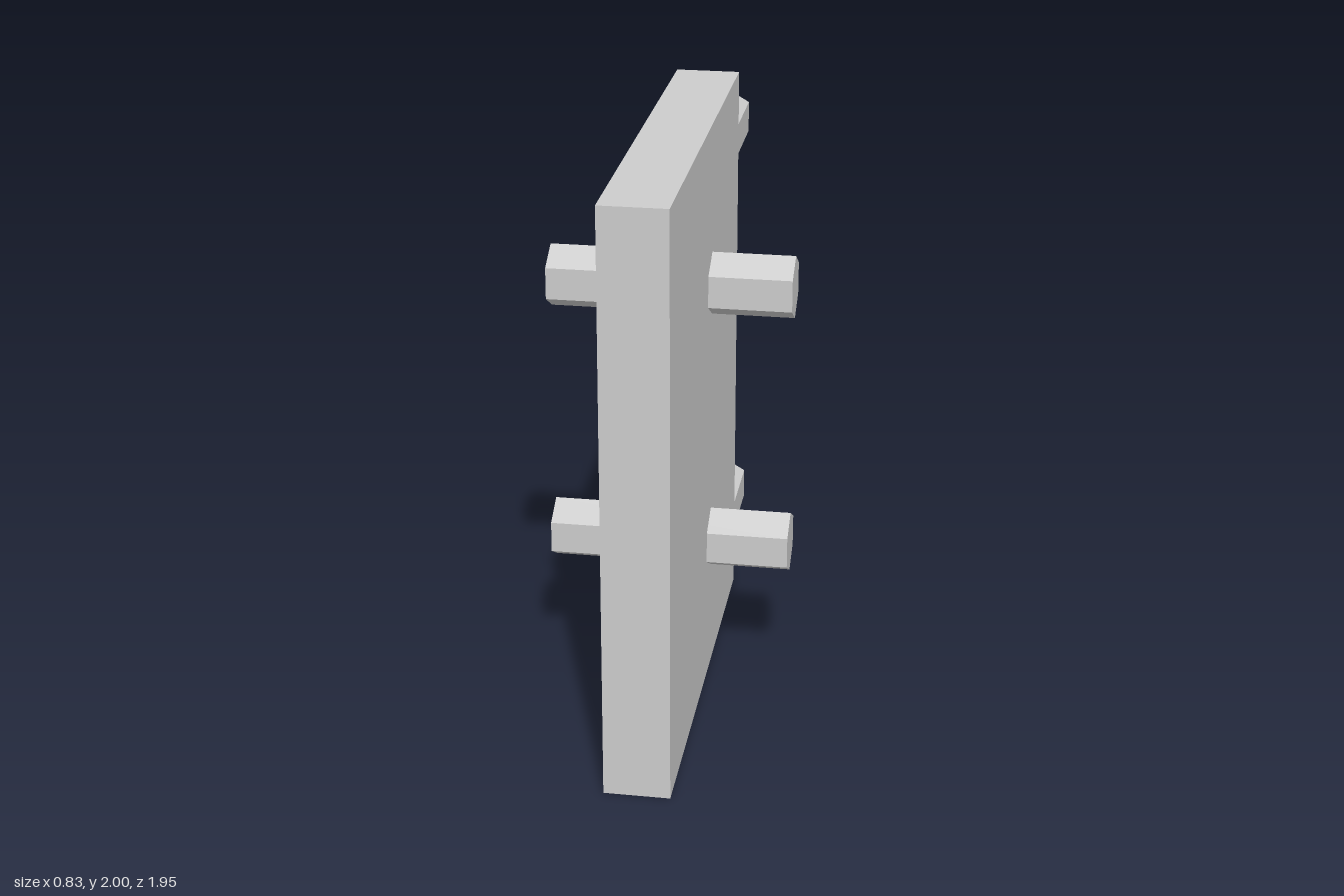
import * as THREE from 'three';

export function createModel() {
  const model = new THREE.Group();
  const grey = new THREE.MeshStandardMaterial({ color: 0xcccccc, flatShading: true });
  grey.name = 'light grey';

  const add = (name, geometry, x, y, z) => {
    const mesh = new THREE.Mesh(geometry, grey);
    mesh.name = name;
    mesh.position.set(x, y, z);
    model.add(mesh);
  };

  // Hexagonal peg lying along z, with a corner pointing up
  const hexPeg = (length) => new THREE.CylinderGeometry(0.11, 0.11, length, 6).rotateX(-Math.PI / 2);

  // Upright slab
  add('panel', new THREE.BoxGeometry(0.22, 2, 1.555), 0.025, 1, 0.1975);

  // Pegs running through the slab from side to side
  for (const [name, y] of [['lowerCrossPeg', 0.503], ['upperCrossPeg', 1.447]]) {
    add(name, hexPeg(0.83).rotateY(Math.PI / 2), 0, y, 0.07);
  }

  // Pegs standing out of the back edge
  for (const [name, y] of [['lowerBackPeg', 0.225], ['upperBackPeg', 1.727]]) {
    add(name, hexPeg(0.415), 0.027, y, -0.7675);
  }

  return model;
}
